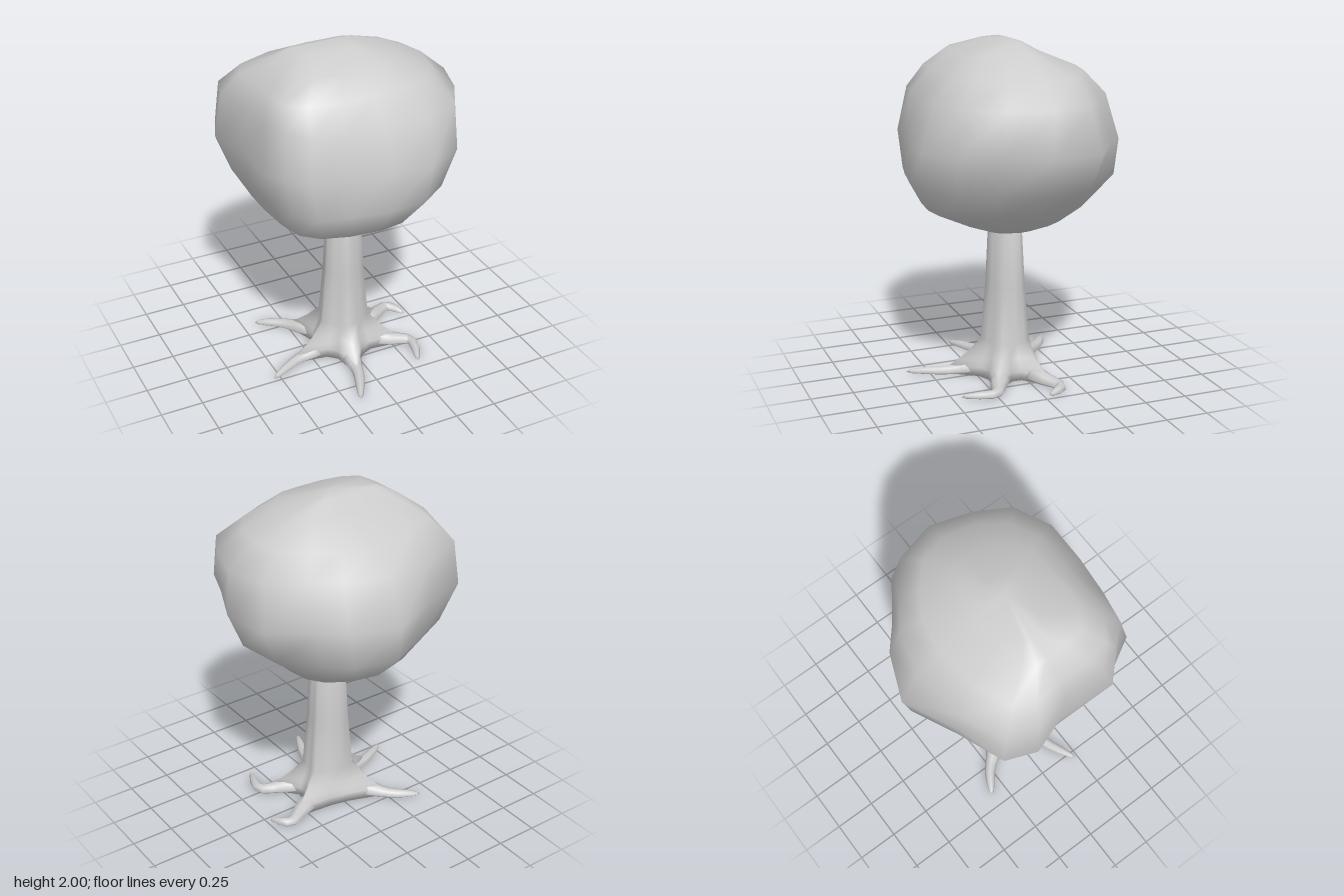
import * as THREE from 'three';

const material = new THREE.MeshStandardMaterial({ color: 0xcccccc });

// Skin a stack of equal rings, closed by a point at each end, with smooth normals
function loft(name, start, rings, end) {
  const n = rings[0].length;
  const pts = [start, ...rings.flat(), end];
  const last = pts.length - 1;
  const index = [];
  const at = (i, j) => 1 + i * n + (j % n);
  for (let j = 0; j < n; j++) {
    index.push(0, at(0, j), at(0, j + 1));
    for (let i = 0; i < rings.length - 1; i++) {
      const a = at(i, j), b = at(i, j + 1), c = at(i + 1, j), d = at(i + 1, j + 1);
      index.push(a, c, b, b, c, d);
    }
    index.push(at(rings.length - 1, j), last, at(rings.length - 1, j + 1));
  }
  const geometry = new THREE.BufferGeometry();
  geometry.setAttribute('position', new THREE.Float32BufferAttribute(pts.flat(), 3));
  geometry.setIndex(index);
  geometry.computeVertexNormals();
  const mesh = new THREE.Mesh(geometry, material);
  mesh.name = name;
  return mesh;
}

// Crown: an irregular plan outline, rounder away from the middle, fitted to the
// reach on each side at every level, with each corner swelled or pulled in
function makeCrown() {
  const plan = [
    [0.67, 0.04], [0.55, 0.3], [0.47, 0.51], [0.25, 0.635], [0, 0.625], [-0.25, 0.575],
    [-0.44, 0.565], [-0.53, 0.41], [-0.61, 0.33], [-0.59, 0], [-0.67, -0.22], [-0.605, -0.4],
    [-0.32, -0.49], [0, -0.64], [0.27, -0.53], [0.4, -0.42], [0.63, -0.26],
  ];
  // y, reach to -x, +x, -z, +z, roundness, corner swell: +x+z, -x+z, -x-z, +x-z
  const levels = [
    [0.885, 0.34, 0.12, 0.12, 0.17, 1, 0, 0, 0, 0],
    [0.95, 0.41, 0.28, 0.27, 0.34, 1, -0.06, 0.04, -0.06, 0],
    [1.04, 0.5, 0.37, 0.43, 0.53, 0.9, -0.04, 0.03, -0.06, 0],
    [1.21, 0.6, 0.58, 0.6, 0.635, 0.5, -0.03, 0, -0.07, -0.01],
    [1.43, 0.67, 0.67, 0.64, 0.64, 0, 0, 0, -0.01, 0],
    [1.69, 0.61, 0.655, 0.53, 0.57, 0.6, 0.03, 0.04, 0.09, -0.06],
    [1.82, 0.53, 0.5, 0.38, 0.44, 0.9, 0.02, 0.12, 0.05, -0.04],
    [1.92, 0.41, 0.3, 0.14, 0.33, 1, 0, 0.12, 0, -0.08],
    [1.975, 0.3, 0.1, 0.04, 0.13, 1, 0, 0.08, 0, -0.1],
  ];
  const n = plan.length;
  const rings = levels.map(([y, left, right, back, front, round, ...swell]) => {
    const outline = plan.map((p, j) => p.map((v, k) => {
      const mean = (plan[(j + n - 1) % n][k] + plan[(j + 1) % n][k]) / 2;
      return v + (mean - v) * round * 0.6;
    }));
    const xs = outline.map((p) => p[0]), zs = outline.map((p) => p[1]);
    const fit = (v, all, low, high) => (v < 0 ? -low * v / Math.min(...all) : high * v / Math.max(...all));
    return outline.map(([x, z]) => {
      const corner = z > 0 ? (x > 0 ? 0 : 1) : (x < 0 ? 2 : 3);
      const s = 1 + swell[corner] * (2 * x * z / (x * x + z * z)) ** 2;
      return [fit(x, xs, left, right) * s, y, fit(z, zs, back, front) * s];
    });
  });
  return loft('crown', [-0.1, 0.85, 0], rings, [-0.02, 2, 0.04]);
}

// Elbow and tip of each root on the ground, as x, z, in order around the trunk
const ROOTS = [
  [0.4, -0.13, 0.475, -0.03],
  [0.36, 0.26, 0.31, 0.45],
  [-0.08, 0.42, -0.17, 0.63],
  [-0.36, 0.14, -0.545, 0.235],
  [-0.28, -0.26, -0.42, -0.35],
];
const CX = -0.006, CZ = 0.053;

// Trunk: near-round above, spreading into one lobe per root at the foot
function makeTrunk() {
  const angles = ROOTS.map(([x, z]) => Math.atan2(z - CZ, x - CX));
  const levels = [ // y, lobe radius, hollow radius
    [0, 0.36, 0.195], [0.05, 0.345, 0.185], [0.085, 0.295, 0.175], [0.13, 0.235, 0.16],
    [0.21, 0.155, 0.138], [0.55, 0.125, 0.111], [0.93, 0.106, 0.092],
  ];
  const rings = levels.map(([y, lobe, hollow]) => angles.flatMap((a, i) => {
    let next = angles[(i + 1) % angles.length];
    if (next < a) next += Math.PI * 2;
    return [0, 1, 2].map((k) => {
      const t = a + (next - a) * k / 3, r = k ? hollow : lobe;
      return [CX + Math.cos(t) * r, y, CZ + Math.sin(t) * r];
    });
  }));
  return loft('trunk', [CX, 0.01, CZ], rings, [CX, 0.93, CZ]);
}

// Root: tapering, flat-bottomed limb that leaves a lobe and bends at its elbow
function makeRoot([ex, ez, tx, tz]) {
  const along = (f) => new THREE.Vector3(CX + (ex - CX) * f, 0, CZ + (ez - CZ) * f);
  const tip = new THREE.Vector3(tx, 0, tz);
  const curve = new THREE.CatmullRomCurve3([along(0.45), along(0.72), along(1), tip]);
  const up = new THREE.Vector3(0, 1, 0);
  const sizes = [ // half width, height
    [0.05, 0.07], [0.055, 0.08], [0.055, 0.078], [0.048, 0.066], [0.04, 0.056],
    [0.035, 0.05], [0.032, 0.046], [0.027, 0.04], [0.015, 0.025],
  ];
  const rings = sizes.map(([half, height], i) => {
    const t = i / (sizes.length - 1) * 0.96;
    const p = curve.getPoint(t);
    const side = up.clone().cross(curve.getTangent(t)).normalize();
    return Array.from({ length: 8 }, (_, j) => {
      const a = j / 8 * Math.PI * 2;
      const s = Math.sin(a) * half;
      const y = Math.max(0.003, height * (0.3 + 0.7 * Math.cos(a)));
      return [p.x + side.x * s, y, p.z + side.z * s];
    });
  });
  const inner = along(0.45);
  return loft('root', [inner.x, 0.03, inner.z], rings, [tx, 0.008, tz]);
}

export function createModel() {
  const tree = new THREE.Group();
  tree.name = 'tree';
  const roots = new THREE.Group();
  roots.name = 'roots';
  ROOTS.forEach((r) => roots.add(makeRoot(r)));
  tree.add(makeCrown(), makeTrunk(), roots);
  return tree;
}
